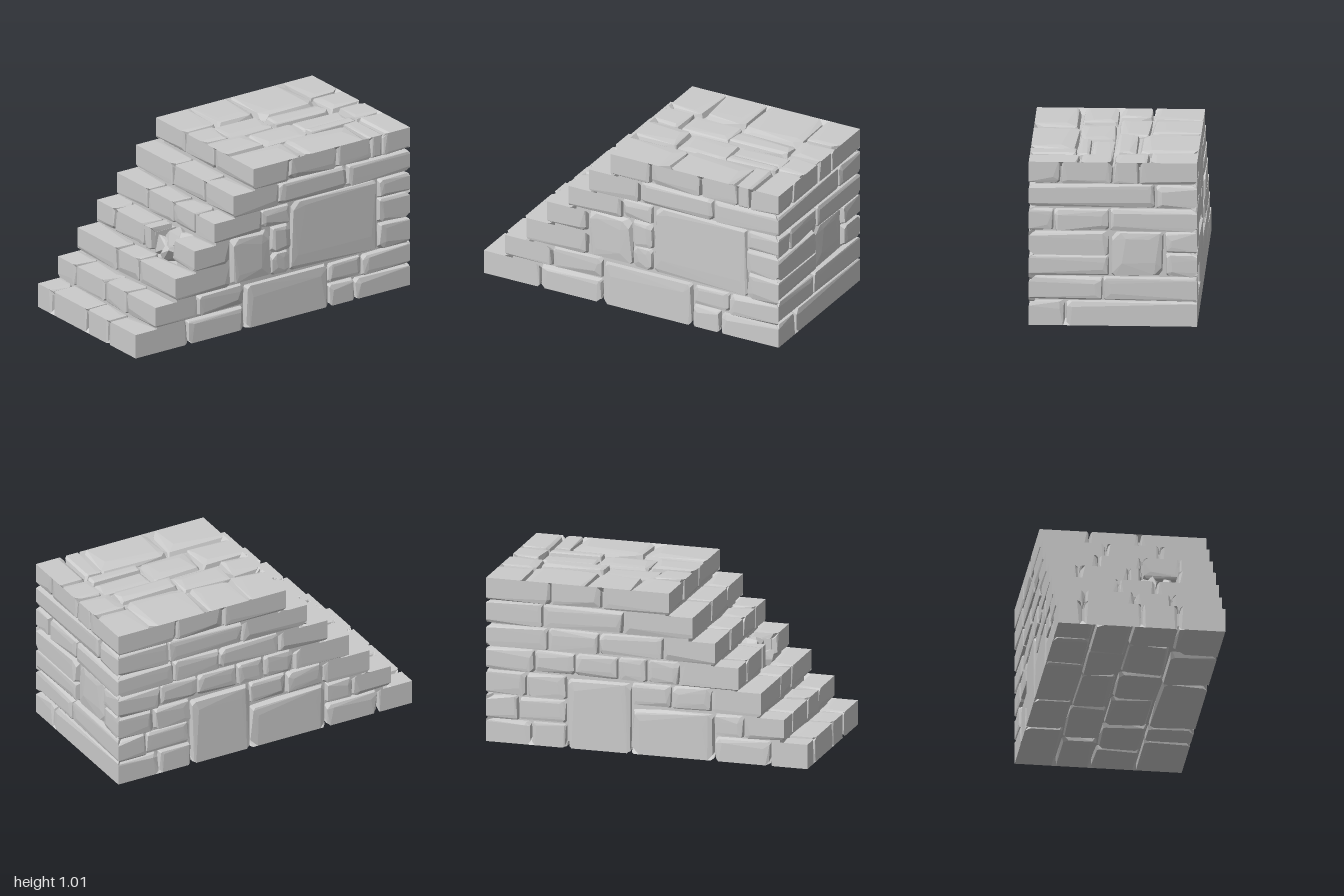
import * as THREE from 'three';
import { ConvexGeometry } from 'three/addons/geometries/ConvexGeometry.js';
import { mergeGeometries } from 'three/addons/utils/BufferGeometryUtils.js';

// Stair profile: left edge and top of every course
const X = [-1, -0.855, -0.71, -0.57, -0.425, -0.285, -0.14];
const Y = [0.15, 0.29, 0.44, 0.585, 0.725, 0.87, 1.01];
const TOP = 1.01, HALF = 0.5, THICK = 0.06, INSET = 0.035;

let seed = 7;
const rnd = () => {
  seed = (seed * 16807) % 2147483647;
  return seed / 2147483647;
};
const V = (x, y, z) => new THREE.Vector3(x, y, z);

// One chipped stone on a face; edges = [u0, u1, v0, v1] flags for sides lying on a model edge
function stone([u0, u1, v0, v1], edges, map) {
  const w = u1 - u0, h = v1 - v0, k = Math.min(w, h, 0.3), pts = [];
  const sunk = edges.some(Boolean) ? 0 : rnd() * 0.018;
  for (const su of [0, 1]) {
    for (const sv of [0, 1]) {
      const eu = edges[su], ev = edges[2 + sv];
      const add = (a, b, d) => pts.push(map(su ? u1 - a : u0 + a, sv ? v1 - b : v0 + b, d));
      // back corner, mitred where two faces meet
      add(eu ? THICK : 0, ev ? THICK : 0, THICK);
      if (eu && ev) { add(0, 0, 0); continue; }
      // chipped outer corner
      const mu = eu ? 0 : 0.003 + rnd() * 0.08 * k;
      const mv = ev ? 0 : 0.003 + rnd() * 0.08 * k;
      const c = k * (0.04 + 0.2 * rnd() * rnd());
      add(mu, mv + c, eu ? 0 : sunk + rnd() * 0.012);
      add(mu + c, mv, ev ? 0 : sunk + rnd() * 0.012);
      // flat middle of the face
      add(eu ? 0 : mu + k * (0.1 + 0.2 * rnd()), ev ? 0 : mv + k * (0.1 + 0.2 * rnd()), sunk);
    }
  }
  return new ConvexGeometry(pts);
}

// Rectangles from split positions along u
const row = (v0, v1, ...us) => us.slice(1).map((u, i) => [us[i], u, v0, v1]);

// Edge rule for a rectangular face
const within = (a, b, c, d) => ([u0, u1, v0, v1]) => [u0 === a, u1 === b, v0 === c, v1 === d];
// Edge rule for the stepped side walls
const stepped = ([x0, x1, y0, y1]) => [X.includes(x0), x1 === 1, y0 === 0, X.includes(x0) || y1 === TOP];

export function createModel() {
  const model = new THREE.Group();
  const material = new THREE.MeshStandardMaterial({ color: 0xcccccc, flatShading: true });
  const addMesh = (name, geometries) => {
    const mesh = new THREE.Mesh(mergeGeometries(geometries), material);
    mesh.name = name;
    model.add(mesh);
  };
  const addFace = (name, rects, rule, map) => addMesh(name, rects.map((r) => stone(r, rule(r), map)));

  // Core seen at the bottom of the joints, with a gap in the fourth step
  const core = [];
  const block = (x0, x1, y0, y1, z0, z1) => core.push(
    new THREE.BoxGeometry(x1 - x0, y1 - y0, z1 - z0).translate((x0 + x1) / 2, (y0 + y1) / 2, (z0 + z1) / 2));
  const zIn = HALF - INSET;
  X.forEach((x, i) => {
    const y0 = i ? Y[i - 1] - INSET : INSET, y1 = Y[i] - INSET;
    if (i === 3) {
      block(x + INSET, X[4] + 0.05, y0, y1, -zIn, 0.05);
      block(x + INSET, X[4] + 0.05, y0, y1, 0.27, zIn);
      block(X[4] + 0.04, 1 - INSET, y0, y1, -zIn, zIn);
    } else block(x + INSET, 1 - INSET, y0, y1, -zIn, zIn);
  });
  addMesh('core', core);

  // Front wall
  addFace('frontStones', [
    ...row(0, 0.15, -1, -0.62, -0.2), [-0.2, 0.41, 0, 0.27], [0.41, 0.6, 0, 0.14], [0.6, 1, 0, 0.13],
    ...row(0.15, 0.29, -0.855, -0.54, -0.2), [0.41, 0.66, 0.14, 0.27], [0.66, 1, 0.13, 0.27],
    [-0.71, -0.3, 0.29, 0.44], [-0.3, 0, 0.29, 0.6], [0, 0.14, 0.28, 0.43], [0.14, 0.78, 0.27, 0.725],
    [0.78, 1, 0.27, 0.44], [-0.57, -0.3, 0.44, 0.585], [0, 0.14, 0.43, 0.6], [0.78, 1, 0.44, 0.6],
    [-0.425, -0.07, 0.585, 0.725], [-0.07, 0.14, 0.6, 0.725], [0.78, 1, 0.6, 0.725],
    ...row(0.725, 0.87, -0.285, 0.05, 0.55, 1), ...row(0.87, TOP, -0.14, 0.13, 0.47, 0.72, 0.8, 1),
  ], stepped, (x, y, d) => V(x, y, HALF - d));

  // Back wall
  addFace('backStones', [
    ...row(0, 0.15, -1, -0.77, -0.42), [-0.42, 0.1, 0, 0.28], [0.1, 0.5, 0, 0.43], ...row(0, 0.14, 0.5, 0.72, 1),
    ...row(0.15, 0.29, -0.855, -0.6, -0.42), ...row(0.14, 0.29, 0.5, 0.8, 1),
    ...row(0.29, 0.44, -0.71, -0.4, -0.15, 0.1), ...row(0.29, 0.44, 0.5, 0.75, 1),
    ...row(0.44, 0.585, -0.57, -0.2, 0, 0.18, 0.45, 0.7, 1),
    ...row(0.585, 0.725, -0.425, -0.1, 0.3, 0.62, 1),
    ...row(0.725, 0.87, -0.285, 0.15, 0.65, 1), ...row(0.87, TOP, -0.14, 0.28, 0.6, 1),
  ], stepped, (x, y, d) => V(x, y, -HALF + d));

  // Tall right wall (u = z, v = y)
  addFace('tallWallStones', [
    ...row(0, 0.15, -0.5, 0.28, 0.5), ...row(0.15, 0.3, -0.5, 0.06, 0.5),
    ...row(0.3, 0.43, 0.02, 0.5), [-0.31, 0.02, 0.3, 0.58],
    [-0.5, -0.31, 0.3, 0.45], [-0.5, -0.31, 0.45, 0.58], [0.02, 0.5, 0.43, 0.58],
    ...row(0.58, 0.72, -0.5, 0.02, 0.35, 0.5), ...row(0.72, 0.87, -0.5, -0.25, 0.5),
    ...row(0.87, TOP, -0.5, -0.16, 0, 0.31, 0.5),
  ], within(-0.5, 0.5, 0, TOP), (z, y, d) => V(1 - d, y, z));

  // Top platform (u = x, v = z)
  addFace('platformStones', [
    ...row(-0.5, -0.2, -0.14, 0.1, 0.38), ...row(-0.2, 0, -0.14, 0.05, 0.38),
    [0.38, 0.78, -0.5, -0.14], [0.38, 0.78, -0.14, 0], [0.78, 1, -0.5, -0.22], [0.78, 1, -0.22, 0],
    ...row(0, 0.22, -0.14, 0.15, 0.48), [0.48, 0.82, 0, 0.14], [0.82, 1, 0, 0.2],
    [0.48, 0.82, 0.14, 0.22], ...row(0.22, 0.5, -0.14, 0.25, 0.7), [0.7, 0.82, 0.22, 0.5], [0.82, 1, 0.2, 0.5],
  ], within(-0.14, 1, -0.5, 0.5), (x, z, d) => V(x, TOP - d, z));

  // Underside (u = x, v = z)
  addFace('undersideStones', [
    ...row(-0.5, -0.27, -1, -0.77, -0.42, 0.1, 0.5, 1), ...row(-0.27, -0.05, -1, -0.6, -0.25, 0.2, 0.65, 1),
    ...row(-0.05, 0.22, -1, -0.7, -0.3, 0.05, 0.42, 0.75, 1), ...row(0.22, 0.5, -1, -0.62, -0.2, 0.41, 0.6, 1),
  ], within(-1, 1, -0.5, 0.5), (x, z, d) => V(x, d, z));

  // Steps: risers and treads share their joints
  const joints = [
    [-0.5, -0.35, 0, 0.22, 0.5], [-0.5, -0.32, -0.02, 0.2, 0.5], [-0.5, -0.1, 0.12, 0.5],
    [-0.5, -0.32, -0.02, 0.05, 0.27, 0.5], [-0.5, -0.18, 0.08, 0.3, 0.5], [-0.5, -0.12, 0.2, 0.5],
    [-0.5, -0.2, 0.1, 0.5],
  ];
  joints.forEach((zs, i) => {
    const whole = (r) => !(i === 3 && r[0] === 0.05); // the broken stone
    const y0 = i ? Y[i - 1] : 0;
    addFace(`riser${i + 1}`, row(y0, Y[i], ...zs).filter(whole),
      within(-0.5, 0.5, i ? null : 0, Y[i]), (z, y, d) => V(X[i] + d, y, z));
    if (i < 6) {
      addFace(`tread${i + 1}`, row(X[i], X[i + 1] + 0.02, ...zs).filter(whole),
        within(-0.5, 0.5, X[i], null), (z, x, d) => V(x, Y[i] - d, z));
    }
  });

  // Rubble filling the broken fourth step
  const rubble = [[-0.49, 0.47, 0.1, 0.07], [-0.5, 0.46, 0.2, 0.075], [-0.45, 0.53, 0.15, 0.07], [-0.44, 0.52, 0.24, 0.06]];
  addMesh('rubble', rubble.map(([x, y, z, r]) => {
    const pts = Array.from({ length: 12 }, () =>
      V(rnd() - 0.5, rnd() - 0.5, rnd() - 0.5).normalize().multiplyScalar(r * (0.9 + 0.3 * rnd())).add(V(x, y, z)));
    return new ConvexGeometry(pts);
  }).map((g) => g));

  return model;
}
